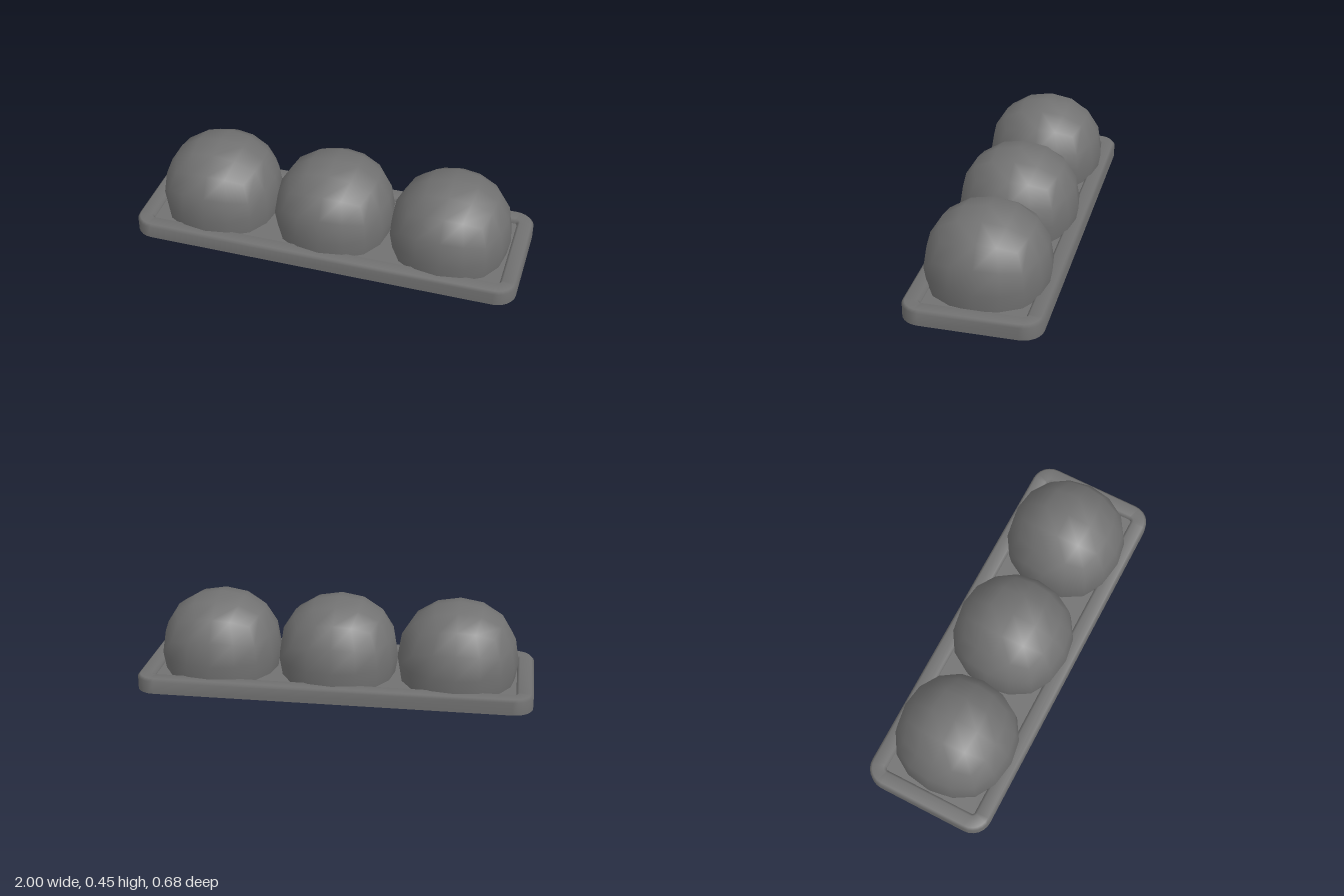
import * as THREE from 'three';
import { toCreasedNormals } from 'three/addons/utils/BufferGeometryUtils.js';

// Open shells are seen from both sides
const material = new THREE.MeshStandardMaterial({ color: 0x717171, side: THREE.DoubleSide });

function addMesh(group, name, geometry) {
  const mesh = new THREE.Mesh(geometry, material);
  mesh.name = name;
  group.add(mesh);
  return mesh;
}

// Rim shell, open underneath: a profile of [inset, height] swept around a rounded rectangle
function frameGeometry(hx, hz, radius) {
  const profile = [[0, 0], [0, 0.065], [0.013, 0.078], [0.072, 0.078], [0.085, 0.065], [0.085, 0.045]];
  const steps = 6;
  const count = 4 * (steps + 1);
  const positions = [];
  const index = [];
  profile.forEach(([inset, y], row) => {
    for (let corner = 0; corner < 4; corner++) {
      const sx = corner === 0 || corner === 3 ? 1 : -1;
      const sz = corner < 2 ? -1 : 1;
      for (let s = 0; s <= steps; s++) {
        const angle = (corner + s / steps) * Math.PI / 2;
        positions.push(
          sx * (hx - radius) + (radius - inset) * Math.cos(angle),
          y,
          sz * (hz - radius) - (radius - inset) * Math.sin(angle),
        );
      }
    }
    if (row === 0) return;
    for (let j = 0; j < count; j++) {
      const a = (row - 1) * count + j;
      const b = (row - 1) * count + (j + 1) % count;
      index.push(a, b, b + count, a, b + count, a + count);
    }
  });
  const geometry = new THREE.BufferGeometry();
  geometry.setAttribute('position', new THREE.Float32BufferAttribute(positions, 3));
  geometry.setIndex(index);
  geometry.computeVertexNormals();
  return geometry;
}

// Cube rounded into a coarse ball, slightly fuller on the diagonals, open at the bottom
function ballGeometry(radius) {
  const geometry = new THREE.BoxGeometry(2, 2, 2, 4, 4, 4);
  const pos = geometry.attributes.position;

  // Drop the faces of the lowest band and base
  const faces = geometry.index.array;
  const kept = [];
  for (let i = 0; i < faces.length; i += 3) {
    const face = [faces[i], faces[i + 1], faces[i + 2]];
    if (face.every((k) => pos.getY(k) > -0.6)) kept.push(...face);
  }
  geometry.setIndex(kept);

  const v = new THREE.Vector3();
  const spread = (c) => (Math.abs(Math.abs(c) - 0.5) < 0.01 ? Math.sign(c) * 0.429 : c);
  for (let i = 0; i < pos.count; i++) {
    v.fromBufferAttribute(pos, i);
    v.set(spread(v.x), spread(v.y), spread(v.z)).normalize();
    const [a, b, c] = [v.x * v.x, v.y * v.y, v.z * v.z];
    v.multiplyScalar(radius * (1 + 0.12 * (a * b + b * c + c * a)));
    pos.setXYZ(i, v.x, v.y, v.z);
  }
  return toCreasedNormals(geometry, 1);
}

export function createModel() {
  const group = new THREE.Group();
  group.name = 'ballTray';

  // Tray
  addMesh(group, 'trayFrame', frameGeometry(1, 0.338, 0.1));
  addMesh(group, 'trayFloor', new THREE.BoxGeometry(1.832, 0.03, 0.508)).position.y = 0.04;

  // Row of three balls
  const ball = ballGeometry(0.308);
  ['rightBall', 'middleBall', 'leftBall'].forEach((name, i) => {
    addMesh(group, name, ball).position.set((i - 1) * 0.612, 0.145, 0);
  });
  return group;
}
